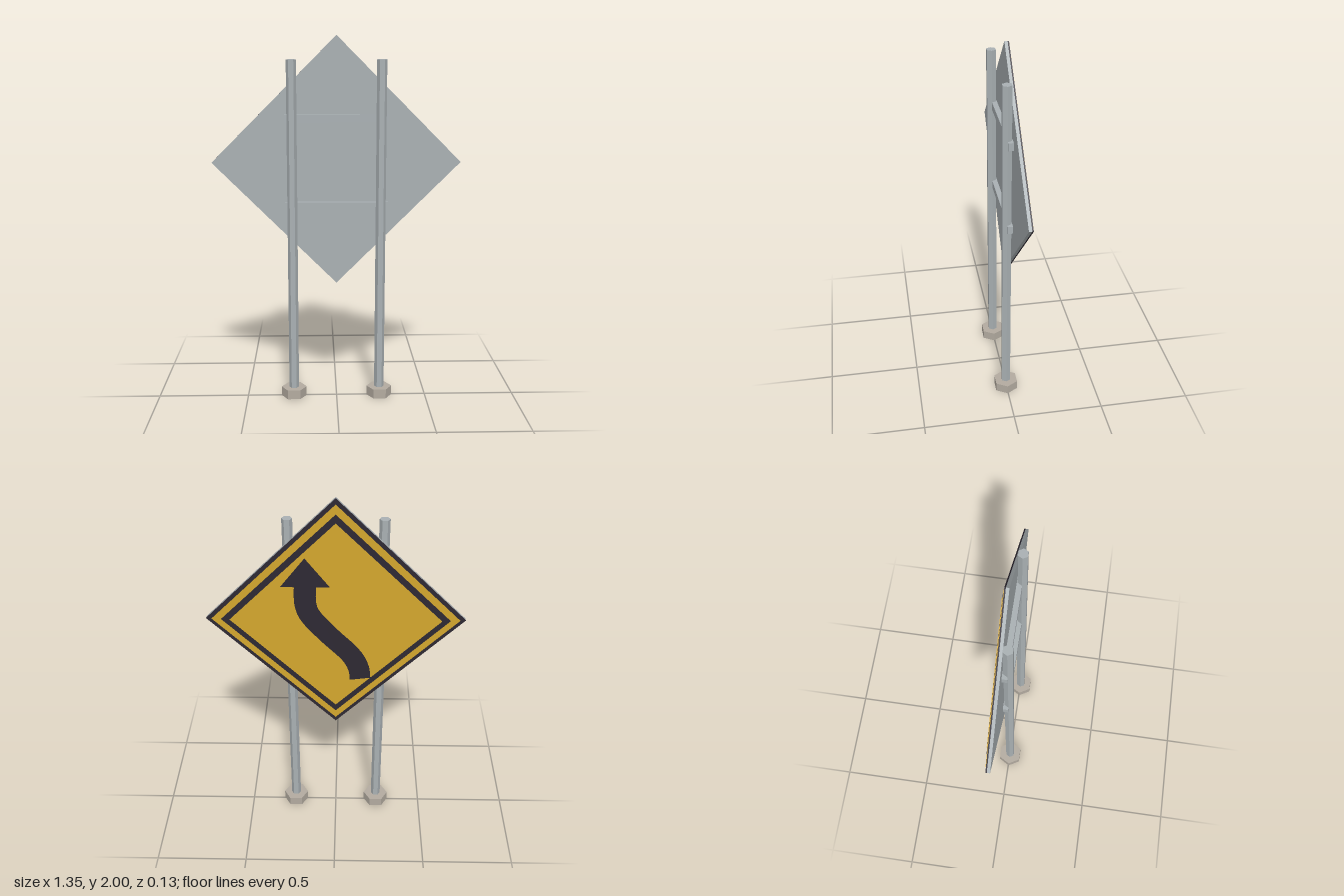
import * as THREE from 'three';

const mat = (color) => new THREE.MeshStandardMaterial({ color, flatShading: true });
const metal = mat(0xa9b0b3);
const concrete = mat(0xb3aba0);
const black = mat(0x2e2933);
const yellow = mat(0xd4a72e);

const CENTRE_Y = 1.326; // centre of the diamond panel
const POST_Z = 0.003;

export function createModel() {
  const group = new THREE.Group();
  const add = (name, geometry, material, x, y, z) => {
    const mesh = new THREE.Mesh(geometry, material);
    mesh.name = name;
    mesh.position.set(x, y, z);
    group.add(mesh);
    return mesh;
  };
  // Upright six-sided prism with corners on the x axis
  const hexPrism = (radius, height) =>
    new THREE.CylinderGeometry(radius, radius, height, 6, 1, false, Math.PI / 6);

  // Posts and their footings
  for (const [side, x] of [['left', 0.24], ['right', -0.24]]) {
    add(side + 'Post', hexPrism(0.027, 1.874), metal, x, 0.937, POST_Z);
    add(side + 'Footing', hexPrism(0.07, 0.052), concrete, x, 0.026, POST_Z);
  }

  // Cross rails behind the panel
  for (const [name, y] of [['upperRail', 1.566], ['lowerRail', 1.09]]) {
    add(name, new THREE.BoxGeometry(0.56, 0.042, 0.03), metal, 0, y, -0.012);
  }

  // Stacked diamond layers: name, half diagonal, front z, back z, material
  const layers = [
    ['backingPlate', 0.674, -0.025, -0.041, metal],
    ['outerEdge', 0.674, -0.041, -0.048, black],
    ['outerField', 0.645, -0.048, -0.052, yellow],
    ['borderLine', 0.595, -0.052, -0.056, black],
    ['innerField', 0.55, -0.056, -0.061, yellow],
  ];
  for (const [name, half, z0, z1, material] of layers) {
    const side = half * Math.SQRT2;
    const panel = add(name, new THREE.BoxGeometry(side, side, z0 - z1), material, 0, CENTRE_Y, (z0 + z1) / 2);
    panel.rotation.z = Math.PI / 4;
  }

  // Winding arrow: a ribbon offset from an S curve, closed by an arrowhead
  const path = new THREE.SplineCurve([
    [-0.132, -0.368], [-0.122, -0.295], [-0.077, -0.208], [0.028, -0.096],
    [0.125, 0.02], [0.155, 0.1], [0.155, 0.2],
  ].map(([x, y]) => new THREE.Vector2(x, y)));
  const plusSide = [];
  const minusSide = [];
  const steps = 20;
  for (let i = 0; i <= steps; i++) {
    const p = path.getPoint(i / steps);
    const t = path.getTangent(i / steps);
    const normal = new THREE.Vector2(t.y, -t.x).multiplyScalar(0.056);
    plusSide.push(p.clone().add(normal));
    minusSide.push(p.clone().sub(normal));
  }
  const head = [[0.28, 0.2], [0.155, 0.362], [0.03, 0.2]].map(([x, y]) => new THREE.Vector2(x, y));
  const outline = new THREE.Shape([...plusSide, ...head, ...minusSide.reverse()]);
  const arrow = new THREE.ExtrudeGeometry(outline, { depth: 0.006, bevelEnabled: false });
  add('arrow', arrow, black, 0, CENTRE_Y, -0.065);

  return group;
}
